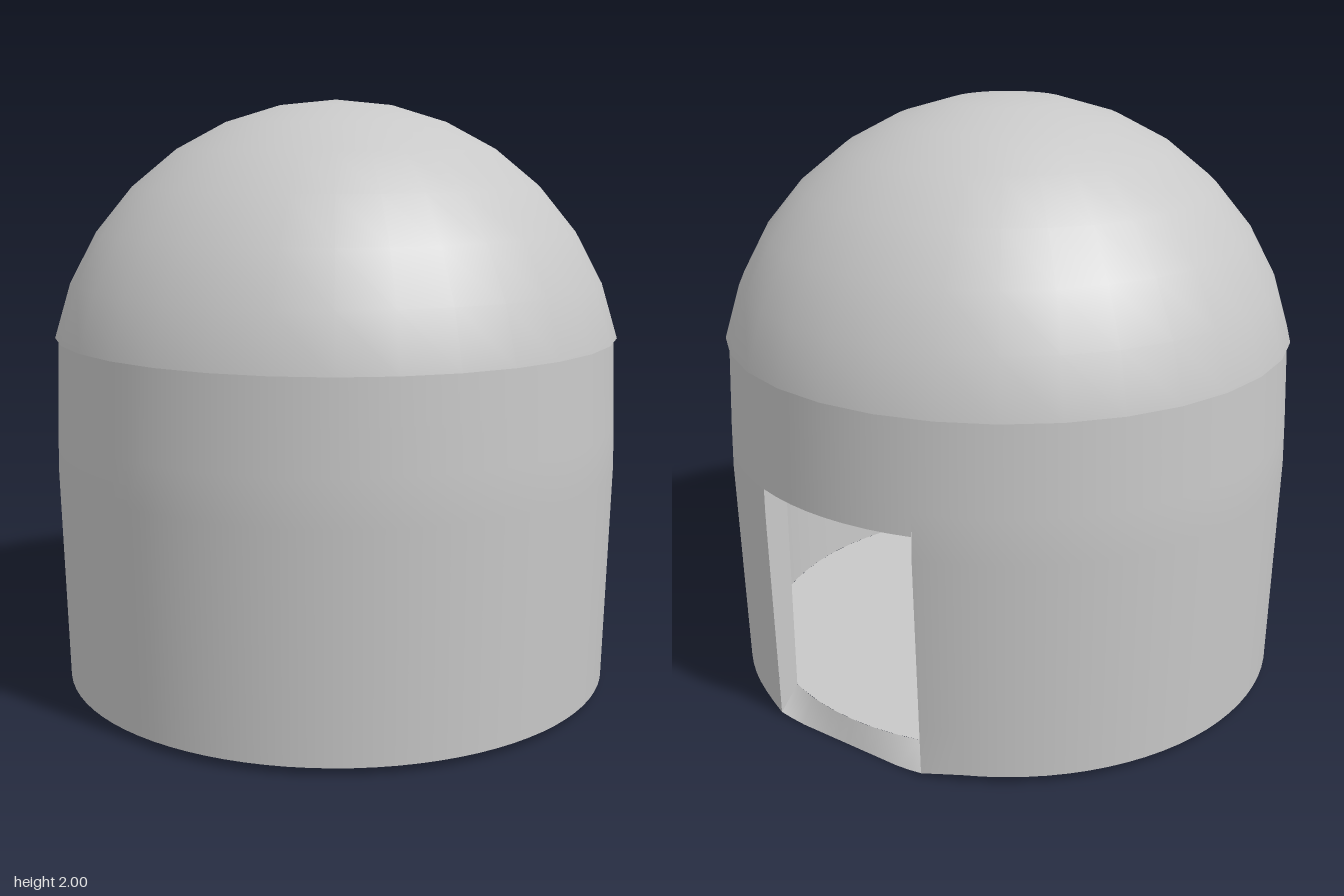
import * as THREE from 'three';
import { ParametricGeometry } from 'three/addons/geometries/ParametricGeometry.js';

const DOOR = 0.3, DOOR_TOP = 0.84;      // doorway half width and head height
const INNER = 0.87, FLOOR = 0.08;       // inner wall radius and floor level
const BASE = 0.025, EAVE = 1.211;       // wall bottom and top
const SILL_Z = -0.896;                  // straight front of the sill

// Slightly barrelled outer wall radius
function outerRadius(y) {
  const { lerp } = THREE.MathUtils;
  return y < 0.8 ? lerp(0.945, 0.965, Math.max(0, (y - BASE) / (0.8 - BASE)))
    : lerp(0.965, 0.95, (y - 0.8) / (EAVE - 0.8));
}
// The base edge dips a little beneath the doorway
function rimY(x, z) {
  if (z > 0) return BASE;
  return BASE * THREE.MathUtils.clamp((Math.abs(x) - 0.22) / 0.18, 0, 1);
}

export function createModel() {
  const group = new THREE.Group();
  const grey = new THREE.MeshStandardMaterial({ color: 0xc8c8c8 });
  grey.name = 'plain grey';

  function add(name, geometry) {
    const mesh = new THREE.Mesh(geometry, grey);
    mesh.name = name;
    group.add(mesh);
    return mesh;
  }
  // Surface patch whose front faces along du x dv
  function patch(name, nu, nv, fn) {
    return add(name, new ParametricGeometry((u, v, p) => p.set(...fn(u, v)), nu, nv));
  }
  const lerp = THREE.MathUtils.lerp;
  // Angle t runs from the back towards +x
  const polar = (r, t, y) => [r * Math.sin(t), y, -r * Math.cos(t)];
  const doorAngle = (r) => Math.asin(DOOR / r);

  // Dome cap, with its flat underside forming both eave lip and ceiling
  const cap = Math.PI * 7 / 16;
  add('dome', new THREE.SphereGeometry(0.98, 32, 7, 0, Math.PI * 2, 0, cap)).position.y = 1.02;
  const ceiling = add('ceiling', new THREE.CircleGeometry(0.98 * Math.sin(cap), 32));
  ceiling.rotation.x = Math.PI / 2;
  ceiling.position.y = EAVE;

  // Round wall from one door jamb to the other
  patch('outerWall', 8, 80, (u, v) => {
    const y = lerp(BASE, EAVE, u), r = outerRadius(y), a = doorAngle(r);
    const p = polar(r, lerp(a, Math.PI * 2 - a, v), y);
    if (u === 0) p[1] = rimY(p[0], p[2]);
    return p;
  });
  patch('innerWall', 80, 1, (u, v) => {
    const a = doorAngle(INNER);
    return polar(INNER, lerp(a, Math.PI * 2 - a, u), lerp(FLOOR, EAVE, v));
  });

  // Wall above the doorway
  patch('lintelOuter', 4, 8, (u, v) => {
    const y = lerp(DOOR_TOP, EAVE, u), r = outerRadius(y), a = doorAngle(r);
    return polar(r, lerp(-a, a, v), y);
  });
  patch('lintelInner', 8, 1, (u, v) => {
    const a = doorAngle(INNER);
    return polar(INNER, lerp(-a, a, u), lerp(DOOR_TOP, EAVE, v));
  });
  patch('lintelUnderside', 8, 1, (u, v) => {
    const x = lerp(-DOOR, DOOR, u);
    const r = lerp(outerRadius(DOOR_TOP), INNER, v);
    return [x, DOOR_TOP, -Math.sqrt(r * r - x * x)];
  });

  // Door jambs facing into the opening
  for (const side of [-1, 1]) {
    patch(side > 0 ? 'leftJamb' : 'rightJamb', 6, 1, (u, v) => {
      const y = lerp(rimY(DOOR, -1), DOOR_TOP, u);
      const r = lerp(outerRadius(y), INNER, side > 0 ? 1 - v : v);
      return [side * DOOR, y, -Math.sqrt(r * r - DOOR * DOOR)];
    });
  }

  // Sill rising from the dipped base edge to the floor
  patch('sill', 1, 12, (u, v) => {
    const x = lerp(-DOOR, DOOR, v);
    return [x, lerp(rimY(x, -1), FLOOR, u), lerp(SILL_Z, -Math.sqrt(INNER * INNER - x * x), u)];
  });

  const floor = add('floor', new THREE.CircleGeometry(INNER, 64));
  floor.rotation.x = -Math.PI / 2;
  floor.position.y = FLOOR;

  // Closed underside, dipping at the doorway edge
  patch('underside', 96, 5, (u, v) => {
    const k = Math.max(v, 0.001);
    const [x, , z] = polar(0.945, -u * Math.PI * 2, 0);
    const edge = Math.max(z, SILL_Z);
    return [x * k, v > 0.8 ? lerp(BASE, rimY(x, z), (v - 0.8) / 0.2) : BASE, edge * k];
  });

  return group;
}
